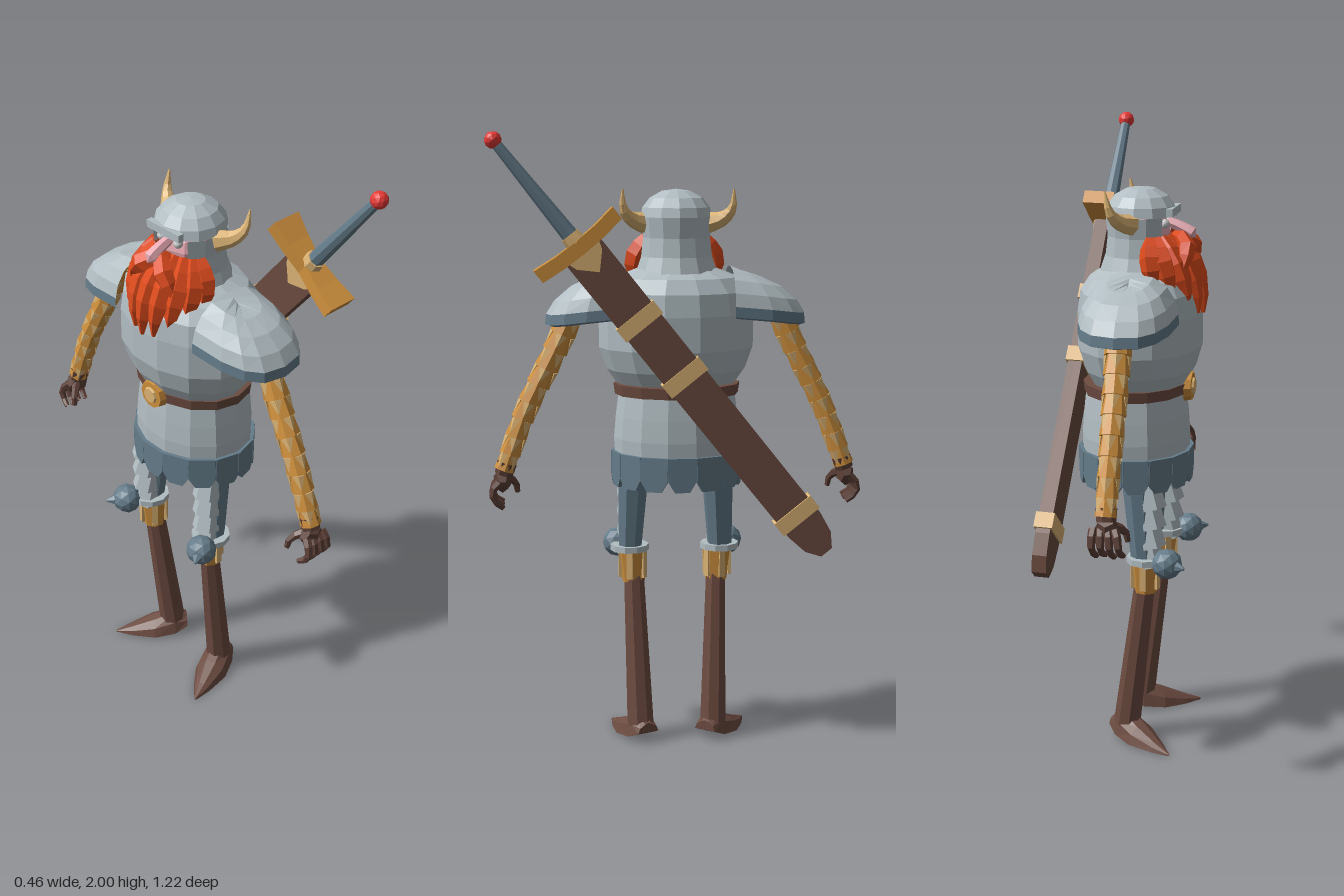
import * as THREE from 'three';

const V = (x, y, z) => new THREE.Vector3(x, y, z);
const mat = (color) => new THREE.MeshStandardMaterial({ color, flatShading: true, side: THREE.DoubleSide });
const STEEL = mat(0xb2bec3), BLUE = mat(0x657c8a), BROWN = mat(0x6d4c41), GLOVE = mat(0x5d4037);
const OCHRE = mat(0xcd8f3d), TAN = mat(0xdcb475), BEARD = mat(0xdc4a1c), RED = mat(0xe53935);
const SKIN = mat(0xe9abb4), WHITE = mat(0xf0f0f0);

function add(parent, name, geo, material, x = 0, y = 0, z = 0) {
  const g = geo.index ? geo.toNonIndexed() : geo;
  g.computeVertexNormals();
  const m = new THREE.Mesh(g, material);
  m.name = name;
  m.position.set(x, y, z);
  parent.add(m);
  return m;
}

// Tapered round bar from a to b
function rod(parent, name, a, b, ra, rb, sides, material, open = false) {
  const d = b.clone().sub(a);
  const m = add(parent, name, new THREE.CylinderGeometry(rb, ra, d.length(), sides, 1, open), material);
  m.position.copy(a).addScaledVector(d, 0.5);
  m.quaternion.setFromUnitVectors(V(0, 1, 0), d.normalize());
  return m;
}

// Curved tube whose radius follows a rule r(t)
function strand(parent, name, pts, r, segs, sides, material) {
  const curve = new THREE.CatmullRomCurve3(pts);
  const g = new THREE.TubeGeometry(curve, segs, 1, sides), p = g.attributes.position, v = V(0, 0, 0);
  for (let i = 0; i < p.count; i++) {
    const t = Math.floor(i / (sides + 1)) / segs, c = curve.getPointAt(t);
    v.fromBufferAttribute(p, i).sub(c).multiplyScalar(r(t)).add(c);
    p.setXYZ(i, v.x, v.y, v.z);
  }
  return add(parent, name, g, material);
}

// Skin over a list of point rows
function loft(rows) {
  const out = [];
  for (let k = 0; k + 1 < rows.length; k++) for (let i = 0; i + 1 < rows[k].length; i++) {
    const [a, b, c, d] = [rows[k][i], rows[k][i + 1], rows[k + 1][i + 1], rows[k + 1][i]];
    for (const p of [a, b, c, a, c, d]) out.push(p.x, p.y, p.z);
  }
  return new THREE.BufferGeometry().setAttribute('position', new THREE.Float32BufferAttribute(out, 3));
}

// Profile given as [radius, y] from bottom to top
const lathe = (pts, sides, start = 0, len = Math.PI * 2) =>
  new THREE.LatheGeometry(pts.map(([r, y]) => new THREE.Vector2(r, y)), sides, start, len);

function buildBody(g) {
  const chest = add(g, 'breastplate', lathe([[0.19, 1.2], [0.225, 1.25], [0.25, 1.32], [0.25, 1.43],
    [0.238, 1.5], [0.2, 1.545], [0.13, 1.572], [0, 1.575]], 14), STEEL, -0.013);
  chest.scale.x = 0.79;
  add(g, 'belt', lathe([[0, 1.17], [0.2, 1.17], [0.205, 1.205], [0, 1.21]], 14), BROWN).scale.x = 0.83;
  rod(g, 'buckle', V(-0.16, 1.19, 0), V(-0.185, 1.19, 0), 0.05, 0.045, 10, OCHRE);
  rod(g, 'buckleCentre', V(-0.18, 1.19, 0), V(-0.192, 1.19, 0), 0.03, 0.025, 8, TAN);
  const skirt = add(g, 'skirtPlate', lathe([[0.188, 1.18], [0.198, 1.1], [0.204, 1.03], [0.202, 0.96]], 14), STEEL);
  skirt.scale.x = 0.85;
  add(g, 'hips', lathe([[0, 0.91], [0.1, 0.92], [0.185, 0.98], [0.18, 1.0]], 12), BLUE).scale.x = 0.85;

  // Rounded flaps round the hem
  const s = new THREE.Shape();
  s.moveTo(-0.047, 0.11); s.lineTo(-0.045, 0.035); s.lineTo(-0.024, 0); s.lineTo(0.024, 0);
  s.lineTo(0.045, 0.035); s.lineTo(0.047, 0.11);
  for (let i = 0; i < 14; i++) {
    const a = (i + 0.5) / 14 * Math.PI * 2;
    const m = add(g, 'skirtFlap', new THREE.ExtrudeGeometry(s, { depth: 0.012, bevelEnabled: false }), BLUE,
      0.17 * Math.sin(a), 0.875, 0.196 * Math.cos(a));
    m.rotation.y = Math.atan2(Math.sin(a) / 0.17, Math.cos(a) / 0.2);
  }
}

function buildHead(g) {
  // Dome, then a guard left open at the face
  const cx = -0.015, gap = 0.75;
  add(g, 'helmetDome', lathe([[0.115, 1.735], [0.108, 1.765], [0.085, 1.795], [0.045, 1.817], [0, 1.823]], 12), STEEL, cx);
  add(g, 'helmetGuard', lathe([[0.132, 1.56], [0.115, 1.61], [0.108, 1.67], [0.115, 1.735]], 10,
    Math.PI * 1.5 + gap, Math.PI * 2 - gap * 2), STEEL, cx);
  add(g, 'brow', new THREE.BoxGeometry(0.02, 0.025, 0.14), STEEL, -0.118, 1.75, 0);
  add(g, 'face', new THREE.SphereGeometry(0.094, 10, 8), SKIN, cx, 1.68, 0);
  strand(g, 'nose', [V(-0.1, 1.715, 0), V(-0.14, 1.7, 0), V(-0.185, 1.675, 0), V(-0.19, 1.668, 0)],
    (t) => 0.016 + 0.006 * t - (t > 0.95 ? 0.021 : 0), 6, 6, SKIN);
  rod(g, 'neck', V(0, 1.5, 0), V(cx, 1.64, 0), 0.09, 0.08, 10, BLUE);
  for (const s of [1, -1]) {
    add(g, 'eye', new THREE.IcosahedronGeometry(0.015, 1), WHITE, -0.098, 1.712, s * 0.036);
    strand(g, 'horn', [V(-0.005, 1.715, s * 0.1), V(0.025, 1.73, s * 0.145), V(0.046, 1.762, s * 0.172),
      V(0.06, 1.825, s * 0.176)], (t) => 0.033 * (1 - t) + 0.002, 7, 7, TAN);
    strand(g, 'moustache', [V(-0.12, 1.665, 0), V(-0.165, 1.655, s * 0.035), V(-0.165, 1.59, s * 0.085),
      V(-0.15, 1.55, s * 0.1)], (t) => 0.03 * Math.sin(Math.PI * (0.25 + 0.74 * t)) + 0.002, 5, 6, BEARD);
  }
  // Beard locks fanned round the chin
  const bulk = add(g, 'beardBulk', new THREE.IcosahedronGeometry(1, 1), BEARD, -0.105, 1.585, 0);
  bulk.scale.set(0.075, 0.085, 0.115);
  for (let j = -4; j <= 4; j++) {
    const a = j * 0.36, c = Math.cos(a), s = Math.sin(a);
    strand(g, 'beardLock', [V(-0.055 - 0.05 * c, 1.67, 0.09 * s), V(-0.06 - 0.105 * c, 1.6, 0.13 * s),
      V(-0.06 - 0.145 * c, 1.56 - 0.05 * c, 0.13 * s), V(-0.06 - 0.155 * c, 1.53 - 0.1 * c, 0.115 * s)],
    (t) => 0.036 * Math.sin(Math.PI * (0.2 + 0.74 * t)), 5, 5, BEARD);
  }
}

function buildArm(g) {
  // Shoulder guard: stacked arches, lowest two forming the rim
  const arch = ([w, zo, y]) => Array.from({ length: 9 }, (_, j) => {
    const a = (j / 8 - 0.5) * Math.PI, c = Math.max(0, Math.cos(a));
    return V(-0.022 + w * Math.sign(Math.sin(a)) * Math.abs(Math.sin(a)) ** 0.75,
      y - 0.03 * c, 0.175 + (zo - 0.175) * c ** 0.75);
  });
  const rim = [[0.14, 0.405, 1.42], [0.15, 0.422, 1.425], [0.148, 0.418, 1.458]];
  const dome = [rim[2], [0.138, 0.392, 1.5], [0.112, 0.345, 1.54], [0.07, 0.285, 1.568], [0, 0.22, 1.578]];
  add(g, 'shoulderRim', loft(rim.map(arch)), BLUE);
  add(g, 'shoulderGuard', loft(dome.map(arch)), STEEL);

  // Sleeve of flared cuffs with pale leaves
  const path = new THREE.CatmullRomCurve3([V(-0.02, 1.48, 0.31), V(-0.025, 1.3, 0.395), V(-0.03, 1.12, 0.485), V(-0.03, 0.92, 0.56)]);
  const n = 10;
  for (let i = 0; i < n; i++) {
    const a = path.getPointAt(i / n), b = path.getPointAt(Math.min(1, (i + 1.1) / n)), k = 1 - 0.25 * i / n;
    const cuff = rod(g, 'sleeveCuff', a, b, 0.036 * k, 0.044 * k, 8, OCHRE);
    for (let j = 0; j < 4; j++) {
      const t = (j + (i % 2) / 2) * Math.PI / 2;
      const leaf = add(cuff, 'sleeveLeaf', new THREE.ConeGeometry(0.019, 0.05, 4), TAN,
        0.038 * k * Math.sin(t), 0, 0.038 * k * Math.cos(t));
      leaf.rotation.set(0.13, t, 0, 'YXZ');
      leaf.scale.z = 0.5;
    }
  }
  // Gloved hand
  rod(g, 'gloveCuff', V(-0.03, 0.945, 0.55), V(-0.032, 0.905, 0.563), 0.033, 0.03, 7, GLOVE);
  const palm = add(g, 'palm', new THREE.DodecahedronGeometry(0.04), GLOVE, -0.035, 0.885, 0.567);
  palm.scale.set(1, 1.05, 0.75);
  for (let j = 0; j < 4; j++) {
    const x = -0.076 + j * 0.027;
    strand(g, 'finger', [V(x * 0.8, 0.885, 0.575), V(x, 0.855, 0.6), V(x, 0.825, 0.594), V(x - 0.008, 0.805 - 0.006 * (j % 2), 0.565)],
      (t) => 0.015 - 0.006 * t, 4, 6, GLOVE);
  }
  strand(g, 'thumb', [V(-0.05, 0.89, 0.55), V(-0.08, 0.87, 0.525), V(-0.088, 0.835, 0.518)], (t) => 0.016 - 0.007 * t, 3, 6, GLOVE);
}

function buildLeg(g, yaw) {
  rod(g, 'thigh', V(-0.03, 0.97, 0.135), V(-0.055, 0.64, 0.15), 0.056, 0.04, 8, BLUE);
  // Stepped plates on the front of the thigh
  for (let i = 0; i < 4; i++) {
    const y = 0.89 - i * 0.065;
    rod(g, 'thighPlate', V(-0.07, y, 0.145), V(-0.088, y - 0.072, 0.15), 0.038, 0.045, 6, STEEL);
  }
  add(g, 'kneeRing', new THREE.CylinderGeometry(0.064, 0.064, 0.02, 10), STEEL, -0.065, 0.645, 0.15);
  add(g, 'kneeCap', new THREE.IcosahedronGeometry(0.05, 1), BLUE, -0.14, 0.645, 0.185);
  rod(g, 'kneeSpike', V(-0.165, 0.645, 0.2), V(-0.202, 0.645, 0.222), 0.025, 0.004, 6, BLUE);
  rod(g, 'shinWrap', V(-0.062, 0.65, 0.142), V(-0.06, 0.53, 0.138), 0.05, 0.037, 8, OCHRE);
  for (let i = 0; i < 5; i++) {
    const a = i / 5 * Math.PI * 2;
    const p = add(g, 'wrapStrip', new THREE.BoxGeometry(0.02, 0.09, 0.01), TAN, -0.061 + 0.043 * Math.sin(a), 0.59, 0.14 + 0.043 * Math.cos(a));
    p.rotation.y = a;
  }
  rod(g, 'bootShaft', V(-0.057, 0.55, 0.137), V(0.005, 0.05, 0.122), 0.034, 0.045, 8, BROWN);

  // Pointed foot: half round sections from heel to toe
  const foot = new THREE.Group();
  foot.name = 'foot';
  foot.position.set(0.005, 0, 0.12);
  foot.rotation.y = yaw;
  g.add(foot);
  const sections = [[0.05, 0.035, 0, 0.035], [0.05, 0.035, 0.038, 0.03], [0.005, 0.015, 0.052, 0.075],
    [-0.07, 0.006, 0.056, 0.055], [-0.15, 0.001, 0.03, 0.026], [-0.208, 0, 0.003, 0.006]];
  add(foot, 'bootFoot', loft(sections.map(([x, y, w, h]) => Array.from({ length: 7 }, (_, i) => {
    const a = (i % 6) / 5 * Math.PI;
    return V(x, y + h * Math.sin(a), w * Math.cos(a));
  }))), BROWN);
}

function buildSword(g) {
  // Built hanging down from the pommel, then tilted across the back
  const s = new THREE.Group();
  s.name = 'sheathedSword';
  s.position.set(0.163, 1.974, 0.575);
  s.rotation.set(0.674, 0, 0.024);
  g.add(s);
  add(s, 'pommel', new THREE.IcosahedronGeometry(0.027, 1), RED);
  rod(s, 'grip', V(0, -0.01, 0), V(0, -0.39, 0), 0.016, 0.027, 8, BLUE);
  add(s, 'gripCollar', new THREE.CylinderGeometry(0.03, 0.034, 0.03, 8), TAN, 0, -0.38, 0);
  // Crossguard flares toward both ends
  const guard = new THREE.BoxGeometry(0.1, 0.045, 0.31, 1, 1, 4), p = guard.attributes.position;
  for (let i = 0; i < p.count; i++) {
    const t = Math.abs(p.getZ(i)) / 0.155;
    p.setX(i, p.getX(i) * (0.62 + 0.38 * t));
    p.setY(i, p.getY(i) + 0.012 * t * t);
  }
  add(s, 'crossguard', guard, OCHRE, 0, -0.415, 0);

  // Flat plates with a rounded tip, drawn across the width
  const plate = (pts, thick) => {
    const sh = new THREE.Shape(pts.map(([z, y]) => new THREE.Vector2(-z, y)));
    return new THREE.ExtrudeGeometry(sh, { depth: thick, bevelEnabled: false }).translate(0, 0, -thick / 2).rotateY(Math.PI / 2);
  };
  add(s, 'scabbard', plate([[-0.067, -0.43], [-0.064, -1.54], [-0.052, -1.61], [-0.022, -1.655], [0.022, -1.655],
    [0.052, -1.61], [0.064, -1.54], [0.067, -0.43]], 0.046), BROWN);
  add(s, 'scabbardThroat', plate([[-0.06, -0.43], [-0.05, -0.46], [0, -0.51], [0.05, -0.46], [0.06, -0.43]], 0.058), TAN);
  for (const y of [-0.705, -0.93, -1.5]) add(s, 'scabbardBand', new THREE.BoxGeometry(0.06, 0.05, 0.146), TAN, 0, y, 0);
}

export function createModel() {
  const model = new THREE.Group();
  model.name = 'hornedKnight';
  buildBody(model);
  buildHead(model);
  for (const side of [1, -1]) {
    const half = new THREE.Group();
    half.name = side > 0 ? 'leftSideLimbs' : 'rightSideLimbs';
    half.scale.z = side;
    buildArm(half);
    buildLeg(half, side > 0 ? 0.42 : 0.64);
    model.add(half);
  }
  buildSword(model);
  return model;
}
